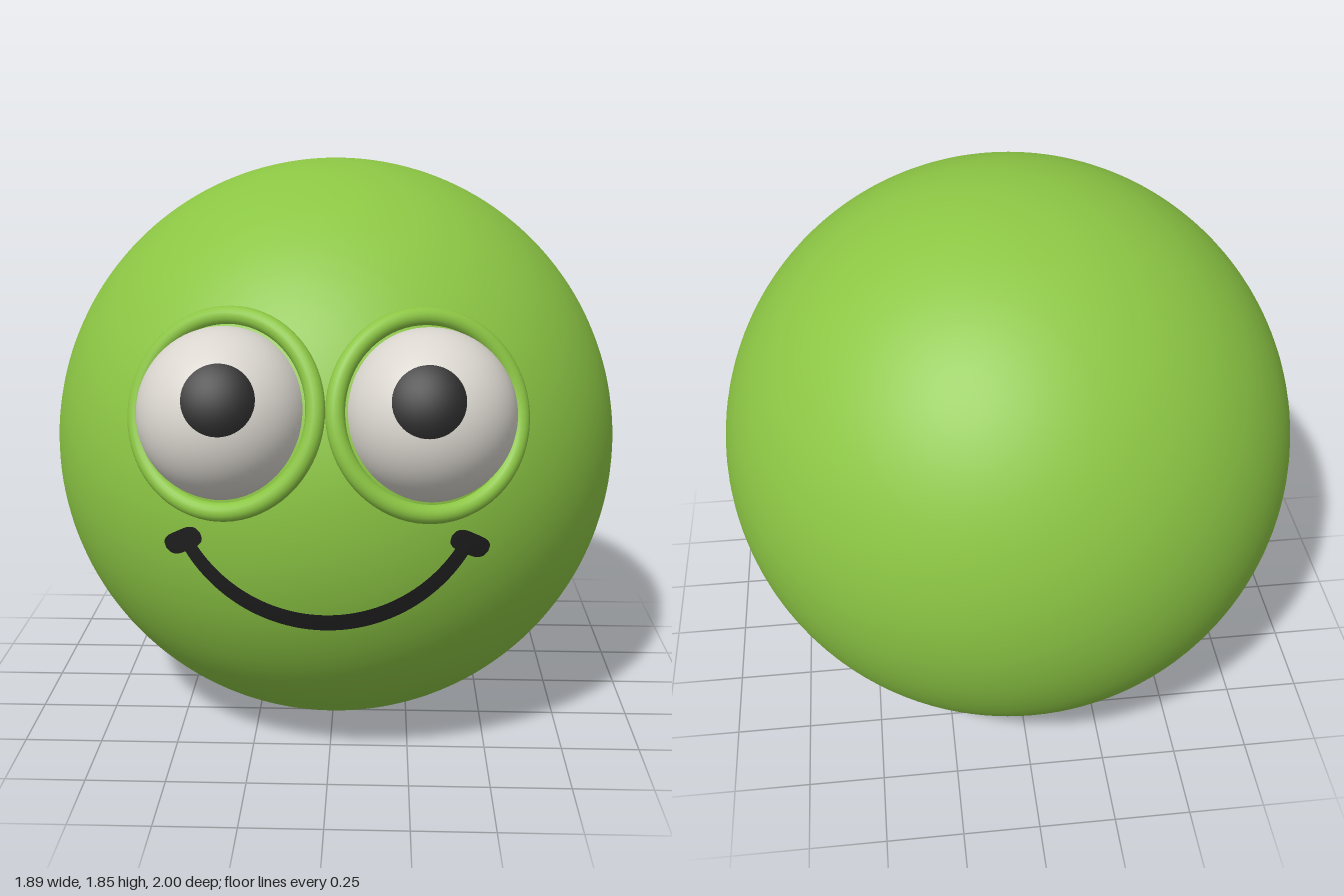
import * as THREE from 'three';

const R = 0.945;                                  // body radius
const C = new THREE.Vector3(0, 0.9, -0.055);      // body centre

const flat = (name, color, side = THREE.FrontSide) => {
  const m = new THREE.MeshStandardMaterial({ color, side });
  m.name = name;
  return m;
};

// Painted stroke: a strip laid on the body, running left to right as seen from the front
function stroke(path, halfWidth, segments) {
  const pos = [], idx = [], across = 4;
  for (let i = 0; i <= segments; i++) {
    const t = i / segments;
    const p = path(t);
    const d = path(t + 0.001).sub(path(t - 0.001)).normalize();
    for (let j = 0; j <= across; j++) {
      const w = halfWidth(t) * (2 * j / across - 1);
      const x = p.x - d.y * w, y = p.y + d.x * w;
      const r = R + 0.004;
      pos.push(x, y, C.z + Math.sqrt(r * r - x * x - (y - C.y) ** 2));
      if (i < segments && j < across) {
        const a = i * (across + 1) + j, b = a + across + 1;
        idx.push(a, b, b + 1, a, b + 1, a + 1);
      }
    }
  }
  const g = new THREE.BufferGeometry();
  g.setAttribute('position', new THREE.Float32BufferAttribute(pos, 3));
  g.setIndex(idx);
  g.computeVertexNormals();
  return g;
}

export function createModel() {
  const model = new THREE.Group();
  const green = flat('green skin', 0x8cc644);
  const white = flat('eye white', 0xdad6cf);
  const black = flat('black paint', 0x1f1f1f, THREE.DoubleSide);

  const add = (name, geometry, material, parent = model) => {
    const mesh = new THREE.Mesh(geometry, material);
    mesh.name = name;
    parent.add(mesh);
    return mesh;
  };

  // Body: a ball with a softly flattened base
  const profile = [[0, 0], [0.1, 0], [0.2, 0.002], [0.26, 0.008], [0.31, 0.019], [0.36, 0.033]]
    .map(([x, y]) => new THREE.Vector2(x, y));
  const start = Math.asin(0.42 / R);
  for (let i = 0; i <= 72; i++) {
    const a = start + (Math.PI - start) * i / 72;
    profile.push(new THREE.Vector2(Math.max(0, R * Math.sin(a)), C.y - R * Math.cos(a)));
  }
  add('body', new THREE.LatheGeometry(profile, 112), green).position.z = C.z;

  // Eyes: eyeball, painted pupil and a raised rim following the body surface
  for (const s of [1, -1]) {
    const eye = new THREE.Group();
    eye.name = s > 0 ? 'leftEye' : 'rightEye';
    eye.position.set(0.293 * s, 1.175, 0.75);
    model.add(eye);

    add('eyeball', new THREE.SphereGeometry(0.248, 56, 40), white, eye);

    const pupil = add('pupil', new THREE.SphereGeometry(0.251, 48, 10, 0, Math.PI * 2, 0, 0.41), black, eye);
    pupil.quaternion.setFromUnitVectors(
      new THREE.Vector3(0, 1, 0), new THREE.Vector3(-0.011 * s, 0.097, 0.231).normalize());

    const rim = add('eyeRim', new THREE.TorusGeometry(0.281, 0.028, 18, 72), green, eye);
    rim.quaternion.setFromUnitVectors(
      new THREE.Vector3(0, 0, 1), eye.position.clone().sub(C).normalize());
  }

  // Smile: an arc with a short rounded dash across each end
  const arc = t => {
    const a = (2 * t - 1) * 1.06;
    return new THREE.Vector2(0.465 * Math.sin(a), 1.037 - 0.465 * Math.cos(a));
  };
  add('smile', stroke(arc, t => 0.022 + 0.006 * Math.sin(Math.PI * t), 64), black);
  for (const s of [1, -1]) {
    const dash = t => new THREE.Vector2(0.415 * s + (t - 0.5) * 0.11, 0.805 - s * (t - 0.5) * 0.068);
    const width = t => 0.032 * Math.pow(Math.max(0, 1 - Math.abs(2 * t - 1) ** 4), 0.5);
    add(s > 0 ? 'leftSmileEnd' : 'rightSmileEnd', stroke(dash, width, 24), black);
  }

  return model;
}
